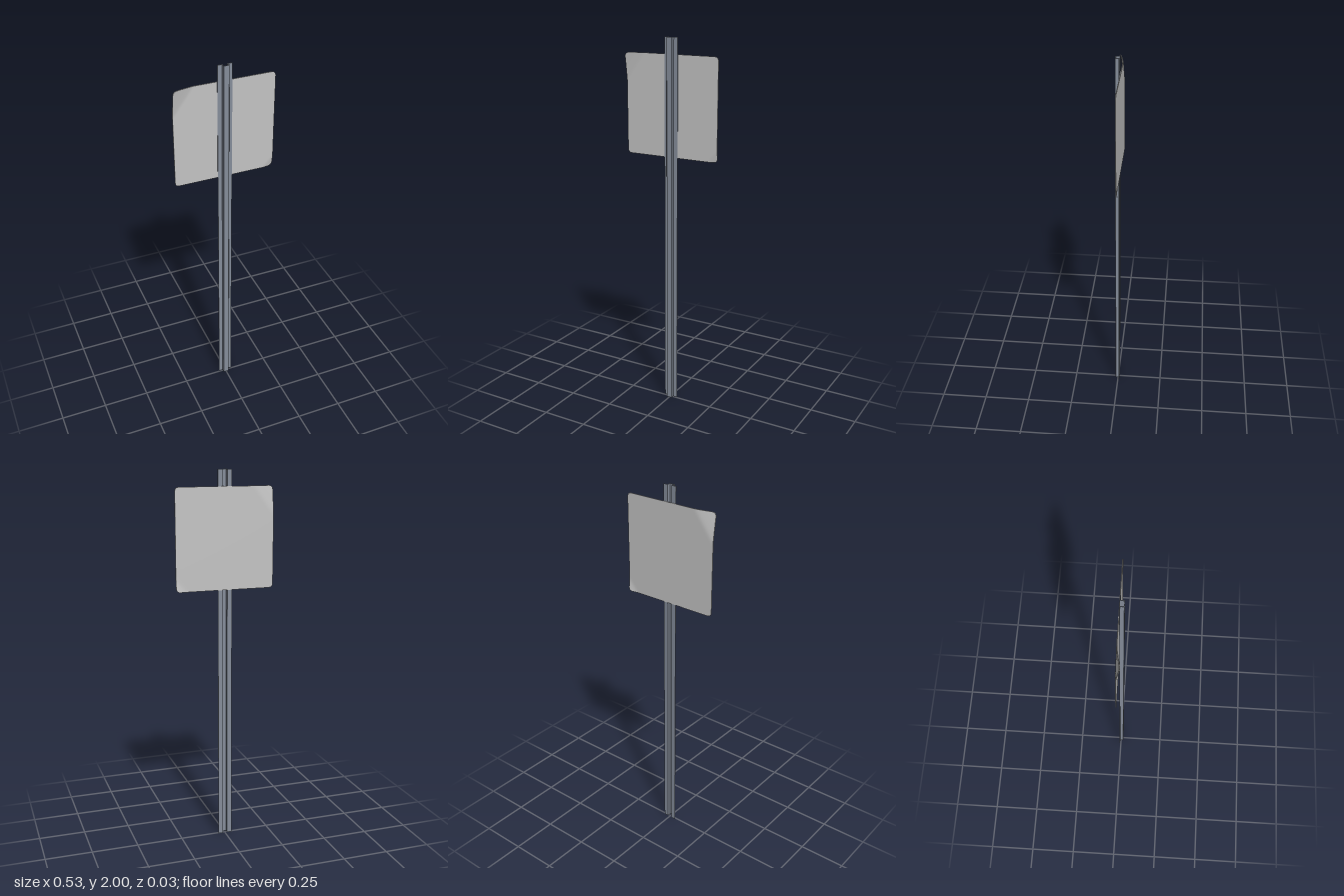
import * as THREE from 'three';

const panelGrey = new THREE.MeshStandardMaterial({ color: 0xc4c4c4 });
panelGrey.name = 'panelGrey';
const postSteel = new THREE.MeshStandardMaterial({ color: 0x858d9a });
postSteel.name = 'postSteel';

// Hat-section channel: two flanges behind, a raised web in front
function makePost() {
  const t = 0.003, flange = 0.038, side = 0.0155, back = -0.008, front = 0.015, c = 0.002;
  const half = [ // right half of the section as [x, z], from outer web round to inner web
    [side - c, front], [side, front - c], [side, back + t], [flange, back + t],
    [flange, back], [side - t, back], [side - t, front - t],
  ];
  const mirrored = half.map(([x, z]) => [-x, z]).reverse();
  const section = new THREE.Shape([...half, ...mirrored].map(([x, z]) => new THREE.Vector2(x, -z)));
  const geometry = new THREE.ExtrudeGeometry(section, { depth: 2, bevelEnabled: false });
  geometry.rotateX(-Math.PI / 2);
  const post = new THREE.Mesh(geometry, postSteel);
  post.name = 'post';
  return post;
}

// Thin sheet with rounded corners, two of them bent out of plane
function makePanel() {
  const size = 0.53, h = size / 2, segments = 52, r = (size / segments) * 2;
  const geometry = new THREE.BoxGeometry(size, size, 0.004, segments, segments, 1);
  const p = geometry.attributes.position;
  const bend = (dx, dy, reachX, reachY) => Math.max(0, 1 - dx / reachX - dy / reachY) ** 1.15;

  for (let i = 0; i < p.count; i++) {
    let x = p.getX(i), y = p.getY(i), z = p.getZ(i);
    // Round the corner squares into quarter discs
    const u = Math.abs(x) - (h - r), v = Math.abs(y) - (h - r);
    if (u > 1e-6 && v > 1e-6) {
      const k = Math.max(u, v) / Math.hypot(u, v);
      x = Math.sign(x) * (h - r + u * k);
      y = Math.sign(y) * (h - r + v * k);
    }
    // Upper right corner curls forward, lower left corner curls back
    z += 0.021 * bend(x + h, h - y, 0.11, 0.15);
    z -= 0.009 * bend(h - x, y + h, 0.055, 0.065);
    p.setXYZ(i, x, y, z);
  }
  geometry.computeVertexNormals();
  const panel = new THREE.Mesh(geometry, panelGrey);
  panel.name = 'signPanel';
  panel.position.set(0, 1.65, -0.0102);
  return panel;
}

export function createModel() {
  const model = new THREE.Group();
  model.name = 'signPost';
  model.add(makePost(), makePanel());
  return model;
}
